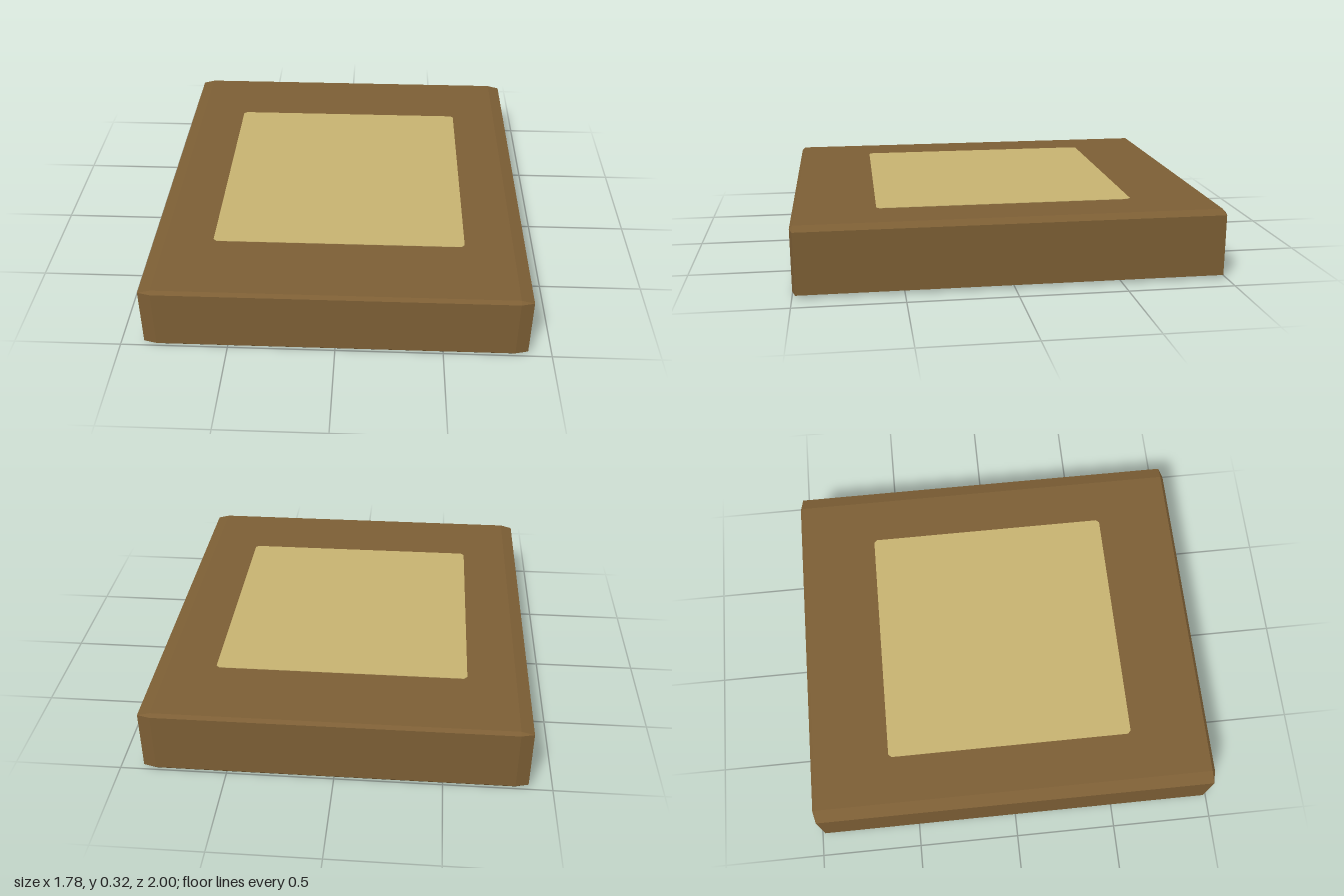
import * as THREE from 'three';

const wood = new THREE.MeshStandardMaterial({ color: 0x7d5f35 });
wood.name = 'brown wood';
const tan = new THREE.MeshStandardMaterial({ color: 0xc9b472 });
tan.name = 'pale tan';

// eight-point ring: a rectangle x by z with corners cut by cx and cz
function ring(y, x, z, cx = 0, cz = 0) {
  return [
    [x, z - cz], [x - cx, z], [-x + cx, z], [-x, z - cz],
    [-x, -z + cz], [-x + cx, -z], [x - cx, -z], [x, -z + cz],
  ].map(([px, pz]) => [px, y, pz]);
}

// flat-faced skin joining each ring to the next
function loft(rings) {
  const pos = [];
  for (let i = 0; i < rings.length - 1; i++) {
    for (let j = 0; j < 8; j++) {
      const k = (j + 1) % 8;
      const a = rings[i][j], b = rings[i][k], c = rings[i + 1][k], d = rings[i + 1][j];
      pos.push(...a, ...d, ...b, ...b, ...d, ...c);
    }
  }
  const geo = new THREE.BufferGeometry();
  geo.setAttribute('position', new THREE.Float32BufferAttribute(pos, 3));
  geo.computeVertexNormals();
  return geo;
}

export function createModel() {
  const model = new THREE.Group();
  model.name = 'hollowSlab';

  function add(name, geo, mat, x = 0, y = 0, z = 0) {
    const mesh = new THREE.Mesh(geo, mat);
    mesh.name = name;
    mesh.position.set(x, y, z);
    model.add(mesh);
  }

  // bevelled slab with a rectangular recess open at the bottom
  const hx = 0.54, hz = 0.665, ceiling = 0.312;
  add('slabBody', loft([
    ring(ceiling, hx, hz),
    ring(0, hx, hz),
    ring(0, 0.83, 0.985),
    ring(0.015, 0.89, 1, 0.06, 0.015),
    ring(0.305, 0.89, 1, 0.06, 0.015),
    ring(0.32, 0.83, 0.985),
    ring(0.32, 0, 0),
  ]), wood);

  // inlaid panel on top
  add('topPanel', loft([
    ring(0.318, 0.6, 0.61, 0.015, 0.015),
    ring(0.322, 0.6, 0.61, 0.015, 0.015),
    ring(0.322, 0, 0),
  ]), tan);

  // underside of the panel, seen inside the recess
  add('recessCeiling', new THREE.BoxGeometry(2 * hx, 0.004, 2 * hz), tan, 0, ceiling, 0);

  // pale lining around the back end of the recess
  for (const s of [-1, 1]) {
    add(s > 0 ? 'leftLining' : 'rightLining',
      new THREE.BoxGeometry(0.004, ceiling - 0.002, 0.32), tan, s * hx, ceiling / 2 + 0.001, -hz + 0.16);
  }
  add('backLining', new THREE.BoxGeometry(2 * hx, ceiling - 0.002, 0.004), tan, 0, ceiling / 2 + 0.001, -hz);

  return model;
}
